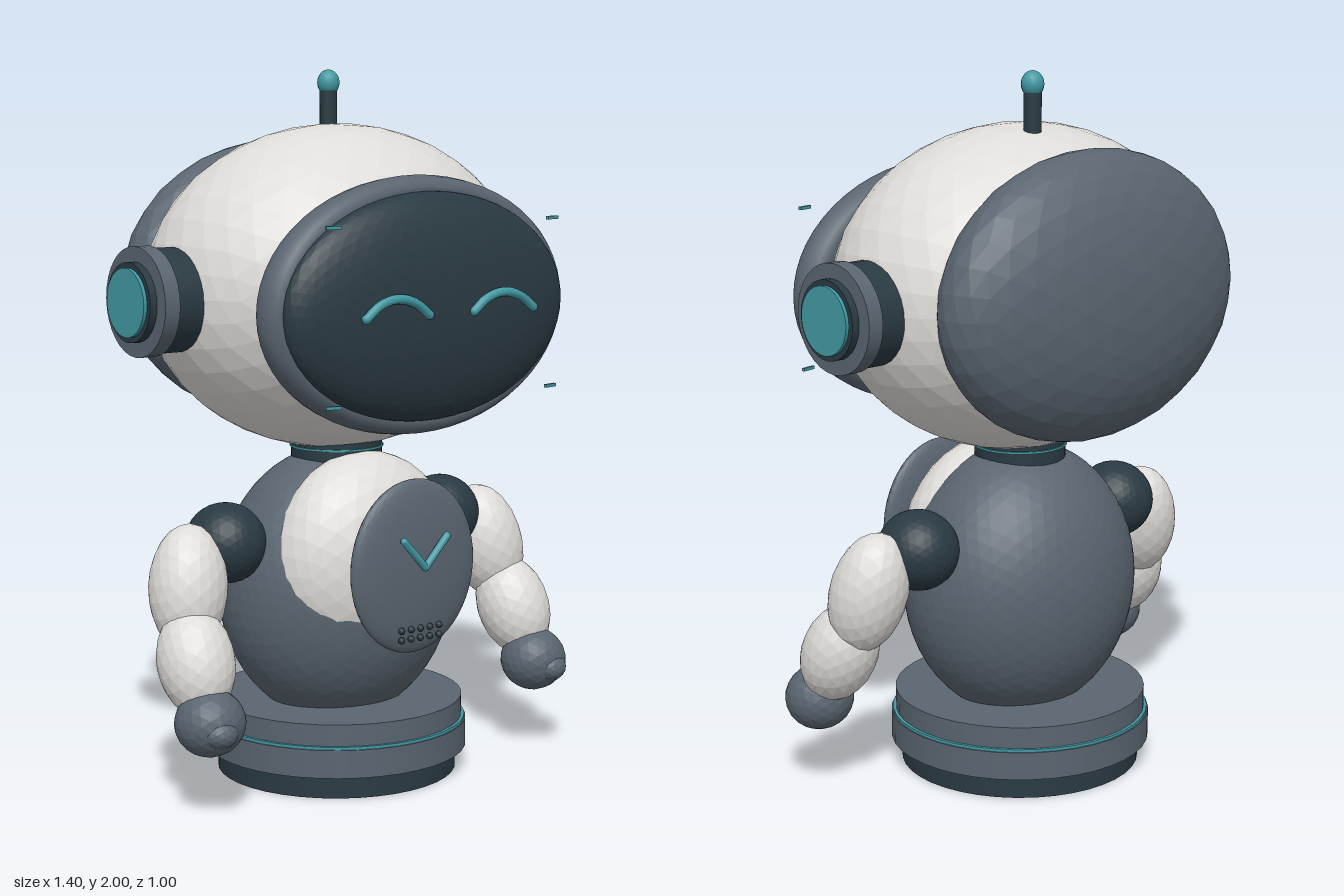
import * as THREE from 'three';

const mat = (name, color) => {
  const m = new THREE.MeshStandardMaterial({ color });
  m.name = name;
  return m;
};

export function createModel() {
  const white = mat('shell white', 0xdedcd8);
  const grey = mat('slate grey', 0x5a6570);
  const dark = mat('dark slate', 0x2a3a42);
  const teal = mat('teal', 0x429aa4);
  const robot = new THREE.Group();
  robot.name = 'robot';
  const Z = -0.024; // depth of the main axis
  const UP = new THREE.Vector3(0, 1, 0);

  const add = (name, geometry, material, pos = [0, 0, 0], parent = robot) => {
    const mesh = new THREE.Mesh(geometry, material);
    mesh.name = name;
    mesh.position.set(...pos);
    parent.add(mesh);
    return mesh;
  };

  // Faceted ellipsoid, optionally with its long axis along dir
  const blob = (name, material, pos, radii, detail = 5, parent = robot, dir = null) => {
    const geometry = new THREE.IcosahedronGeometry(1, detail);
    geometry.scale(...radii);
    geometry.computeVertexNormals();
    const mesh = add(name, geometry, material, pos, parent);
    if (dir) mesh.quaternion.setFromUnitVectors(UP, new THREE.Vector3(...dir).normalize());
    return mesh;
  };

  // Upright cylinder between two heights
  const disc = (name, material, r, y0, y1) =>
    add(name, new THREE.CylinderGeometry(r, r, y1 - y0, 40), material, [0, (y0 + y1) / 2, Z]);

  // Tube through a few points, with rounded ends
  const rod = (name, material, points, r, parent, smooth = true) => {
    const pts = points.map((p) => new THREE.Vector3(...p));
    const curve = smooth ? new THREE.CatmullRomCurve3(pts) : new THREE.LineCurve3(pts[0], pts[1]);
    add(name, new THREE.TubeGeometry(curve, smooth ? 16 : 1, r, 8), material, [0, 0, 0], parent);
    for (const p of [points[0], points[points.length - 1]])
      add(name + 'End', new THREE.SphereGeometry(r, 8, 6), material, p, parent);
  };

  // Base
  disc('baseFoot', dark, 0.345, 0, 0.07);
  disc('baseLower', grey, 0.375, 0.066, 0.146);
  disc('baseGlowLine', teal, 0.371, 0.146, 0.154);
  disc('baseUpper', grey, 0.362, 0.154, 0.215);

  // Torso
  blob('body', grey, [0, 0.54, Z], [0.358, 0.4, 0.303], 9);
  blob('belly', white, [0, 0.62, 0.1], [0.3, 0.317, 0.195], 5);
  blob('chestPanel', grey, [0, 0.645, 0.327], [0.214, 0.244, 0.045], 8);
  disc('neck', dark, 0.13, 0.9, 0.97);
  disc('neckGlowLine', teal, 0.134, 0.938, 0.944);

  // Chest chevron and speaker holes
  for (const s of [-1, 1])
    rod('chestChevron', teal, [[0, 0.65, 0.383], [s * 0.075, 0.73, 0.383]], 0.011, robot, false);
  for (let i = -2; i <= 2; i++)
    for (const y of [0.449, 0.476])
      add('speakerHole', new THREE.SphereGeometry(0.01, 8, 6), dark, [i * 0.033, y, 0.362]);

  // Head
  const head = new THREE.Group();
  head.name = 'head';
  robot.add(head);
  blob('headShell', white, [0, 1.395, -0.025], [0.575, 0.456, 0.45], 6, head);
  blob('backPanel', grey, [0, 1.402, -0.302], [0.525, 0.4, 0.2], 5, head);
  blob('visor', dark, [0, 1.367, 0.382], [0.476, 0.31, 0.106], 9, head);
  const rim = new THREE.TorusGeometry(0.458, 0.055, 14, 56);
  rim.scale(1, 0.686, 1);
  add('visorRim', rim, grey, [0, 1.367, 0.33], head);

  // Antenna
  add('antennaRod', new THREE.CylinderGeometry(0.025, 0.025, 0.16, 16), dark, [0.042, 1.87, -0.118], head);
  const bulb = new THREE.SphereGeometry(0.032, 16, 12);
  bulb.scale(1, 1.15, 1);
  add('antennaBulb', bulb, teal, [0.042, 1.963, -0.118], head);

  for (const s of [-1, 1]) {
    // Smiling eye
    rod('eye', teal, [[-0.105, -0.025], [-0.06, 0.008], [0, 0.022], [0.06, 0.008], [0.105, -0.025]]
      .map(([x, y]) => [s * 0.182 + x, 1.383 + y, 0.488]), 0.013, head);

    // Visor corner marks
    for (const y of [1.132, 1.597])
      add('cornerMark', new THREE.BoxGeometry(0.044, 0.009, 0.009), teal, [s * 0.375, y, 0.464], head)
        .rotation.y = s * 0.2;

    // Ear: stacked discs from the inside out, as [name, material, radius, x0, x1]
    for (const [name, material, r, x0, x1] of [
      ['earBase', dark, 0.142, 0.5, 0.622],
      ['earRing', grey, 0.149, 0.622, 0.668],
      ['earInner', dark, 0.108, 0.66, 0.69],
      ['earLight', teal, 0.093, 0.68, 0.7],
    ]) {
      const geometry = new THREE.CylinderGeometry(r, r, x1 - x0, 32);
      geometry.rotateZ(Math.PI / 2);
      add(name, geometry, material, [s * (x0 + x1) / 2, 1.386, Z], head);
    }

    // Arm
    const arm = new THREE.Group();
    arm.name = s > 0 ? 'leftArm' : 'rightArm';
    robot.add(arm);
    blob('shoulder', dark, [s * 0.385, 0.7, Z], [0.113, 0.113, 0.118], 5, arm);
    blob('upperArm', white, [s * 0.533, 0.6, 0.012], [0.11, 0.175, 0.108], 3, arm, [-s * 0.17, 1, -0.2]);
    blob('forearm', white, [s * 0.568, 0.415, 0.1], [0.107, 0.152, 0.107], 3, arm, [-s * 0.08, 1, -0.45]);
    blob('hand', grey, [s * 0.578, 0.265, 0.182], [0.098, 0.093, 0.096], 3, arm);
    blob('thumb', grey, [s * 0.588, 0.25, 0.24], [0.052, 0.042, 0.052], 2, arm);
  }
  return robot;
}
